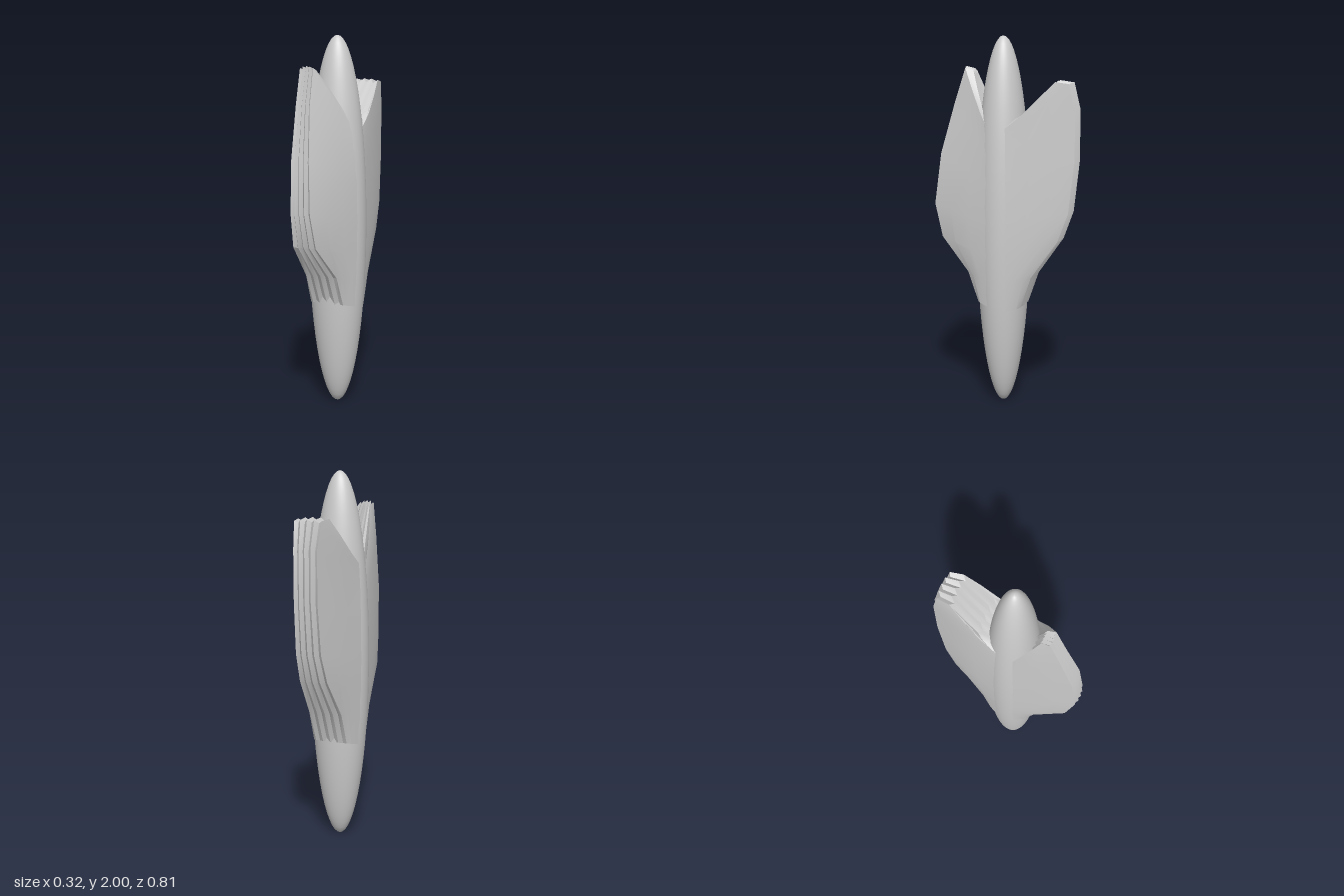
import * as THREE from 'three';
import { toCreasedNormals } from 'three/addons/utils/BufferGeometryUtils.js';

const BODY = { rx: 0.16, rz: 0.145, z: 0.012 };
const lerp = THREE.MathUtils.lerp;

// Sections around a lobe's rim: [rim z, rim y, min x, max x, root y, ridge depth]
const FRONT = [
  [0.14, 0.58, -0.09, 0.09, 0.56, 0.01],
  [0.20, 0.74, -0.10, 0.08, 0.70, 0.015],
  [0.36, 0.92, -0.09, 0.04, 0.84, 0.025],
  [0.405, 1.10, -0.08, 0.03, 1.02, 0.02],
  [0.375, 1.37, -0.09, 0.01, 1.24, 0.02],
  [0.30, 1.65, -0.10, -0.02, 1.40, 0.02],
  [0.24, 1.84, -0.105, -0.03, 1.48, 0.025],
  [0.195, 1.83, -0.10, -0.035, 1.50, 0.03],
  [0.14, 1.56, -0.09, 0.04, 1.50, 0.02],
];
const BACK = [
  [-0.12, 0.56, -0.09, 0.09, 0.54, 0.01],
  [-0.18, 0.73, -0.085, 0.10, 0.69, 0.015],
  [-0.32, 0.93, -0.065, 0.09, 0.85, 0.025],
  [-0.375, 1.08, -0.055, 0.085, 1.02, 0.02],
  [-0.405, 1.35, -0.05, 0.08, 1.24, 0.02],
  [-0.405, 1.62, -0.05, 0.08, 1.38, 0.02],
  [-0.37, 1.76, -0.06, 0.09, 1.46, 0.02],
  [-0.30, 1.77, -0.07, 0.10, 1.50, 0.03],
  [-0.15, 1.61, -0.09, 0.11, 1.52, 0.025],
  [-0.09, 1.58, -0.08, 0.09, 1.52, 0.01],
];

// A flattened lobe: each section runs from the body, round the ridged rim, and back
function lobeGeometry(sections, side) {
  const ridges = 9, flank = 3, cols = ridges + 2 * flank;
  const pos = [], index = [];
  for (const [z, y, x0, x1, rootY, depth] of sections) {
    const s = Math.sqrt(1 - (rootY - 1) ** 2); // body girth at the root
    const rootZ = BODY.z + side * 0.05 * s, rootX = 0.93 * BODY.rx * s;
    const [a, b] = side > 0 ? [x1, x0] : [x0, x1];
    const inward = new THREE.Vector2(rootZ - z, rootY - y).normalize();
    const addFlank = (t, rim, sign) => pos.push(
      lerp(sign * rootX, rim, t) + sign * 0.006 * Math.sin(Math.PI * t),
      lerp(rootY, y, t), lerp(rootZ, z, t));
    for (let i = 0; i < flank; i++) addFlank(i / flank, a, side);
    for (let i = 0; i < ridges; i++) {
      const u = i / (ridges - 1);
      const d = (i % 2 ? depth : 0) + 0.012 * (2 * u - 1) ** 2;
      pos.push(lerp(a, b, u), y + inward.y * d, z + inward.x * d);
    }
    for (let i = flank - 1; i >= 0; i--) addFlank(i / flank, b, -side);
  }
  for (let r = 0; r < sections.length - 1; r++) {
    for (let c = 0; c < cols - 1; c++) {
      const p = r * cols + c, q = p + cols;
      index.push(p, q, p + 1, p + 1, q, q + 1);
    }
  }
  const geo = new THREE.BufferGeometry();
  geo.setAttribute('position', new THREE.Float32BufferAttribute(pos, 3));
  geo.setIndex(index);
  return toCreasedNormals(geo, 0.4);
}

export function createModel() {
  const group = new THREE.Group();
  const add = (name, geometry, side = THREE.FrontSide) => {
    const mesh = new THREE.Mesh(geometry, new THREE.MeshStandardMaterial({ color: 0xcccccc, side }));
    mesh.name = name;
    group.add(mesh);
  };

  // Tall smooth spindle
  const body = new THREE.SphereGeometry(1, 40, 32);
  body.scale(BODY.rx, 1, BODY.rz).translate(0, 1, BODY.z);
  add('body', body);

  // Ridged lobes fore and aft
  add('frontLobe', lobeGeometry(FRONT, 1), THREE.DoubleSide);
  add('backLobe', lobeGeometry(BACK, -1), THREE.DoubleSide);
  return group;
}
